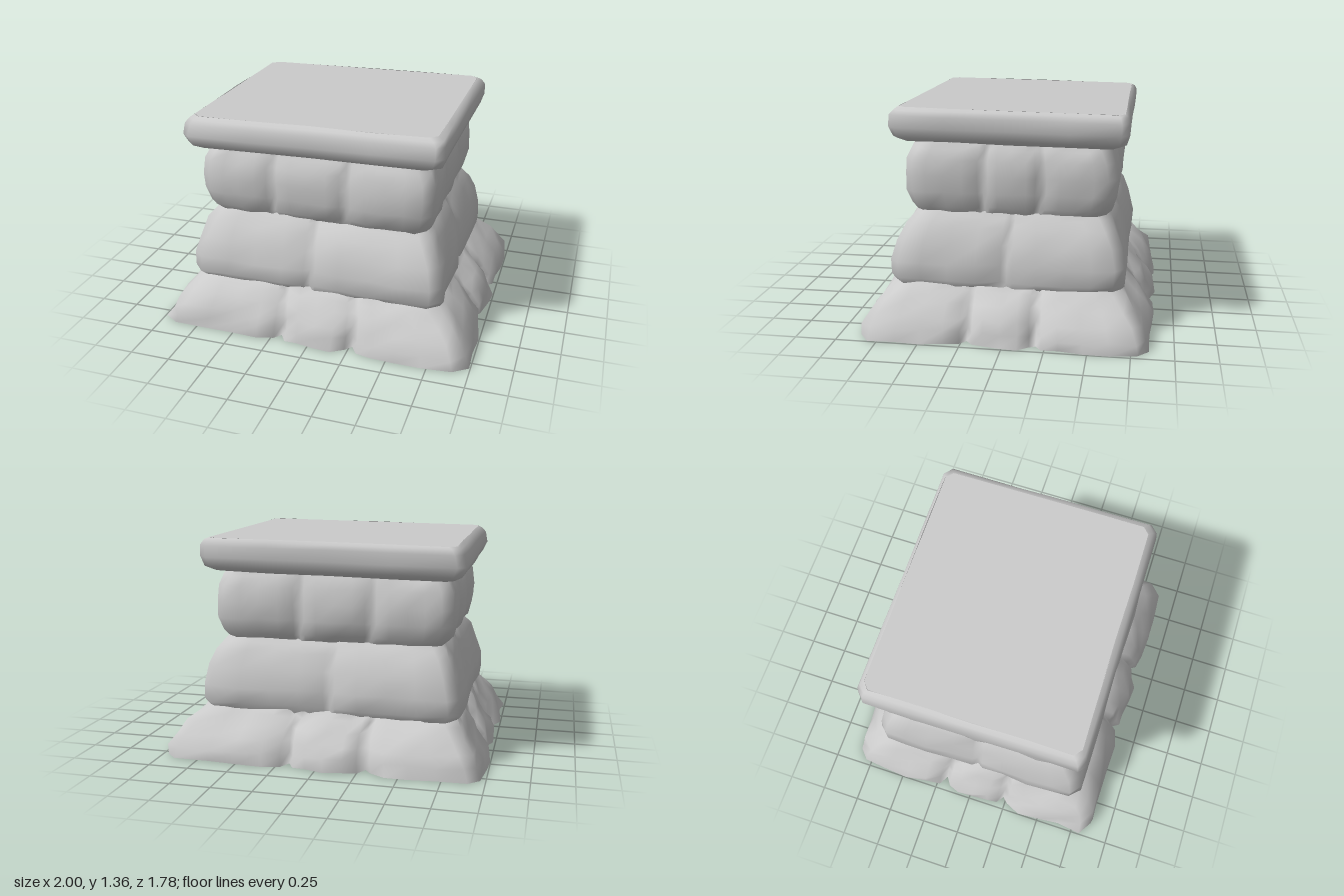
import * as THREE from 'three';

const material = new THREE.MeshStandardMaterial({ color: 0xcccccc, side: THREE.DoubleSide });

// Repeatable noise in -1..1 for the hand-hewn look
function noise(i, j, seed) {
  const s = Math.sin(i * 12.9898 + j * 78.233 + seed * 37.719) * 43758.5453;
  return (s - Math.floor(s)) * 2 - 1;
}

// Columns along one wall: t from -end to end, inset 1 at each mortar joint
function wallColumns(joints, end) {
  const stops = [-end, ...joints, end];
  const columns = [{ t: -end, inset: 0.15 }];
  for (let i = 0; i < stops.length - 1; i++) {
    const a = stops[i], b = stops[i + 1];
    const first = i === 0, last = i === stops.length - 2;
    const at = (t, inset) => columns.push({ t, inset });
    if (!first) at(a + 0.045, 0.4);
    for (const s of [0.25, 0.5, 0.75]) at(a + (b - a) * s, s === 0.5 ? 0 : 0.08);
    if (!last) {
      at(b - 0.045, 0.4);
      at(b, 1);
    }
  }
  columns.push({ t: end, inset: 0.15 });
  return columns;
}

// Lofts a four-walled course through rows of [y, xMin, xMax, zMin, zMax, jointDepth].
// joints: positions along front, right, back and left walls, running counterclockwise.
function course(name, rows, { joints = [[], [], [], []], end = 0.91, rough = 0.012, tilt = 0, seed = 1 }) {
  const walls = joints.map((j) => wallColumns(j.map((p) => p / 0.8), end));
  const count = walls.reduce((n, w) => n + w.length, 0);
  const positions = [], index = [];

  rows.forEach(([y, x0, x1, z0, z1, depth = 0], r) => {
    const cx = (x0 + x1) / 2, cz = (z0 + z1) / 2;
    const hx = (x1 - x0) / 2, hz = (z1 - z0) / 2;
    let c = 0;
    walls.forEach((wall, side) => {
      const [along, out] = side % 2 ? [hz, hx] : [hx, hz];
      for (const { t, inset } of wall) {
        // Joints stay upright while the corners follow the taper
        const k = Math.min(1, (t / end) ** 2);
        const ref = Math.min(0.8, along + 0.1);
        const a = t * (ref + (along - ref) * k);
        const o = out - inset * depth + noise(r, c, seed) * rough;
        const angle = side * Math.PI / 2;
        const cos = Math.round(Math.cos(angle)), sin = Math.round(Math.sin(angle));
        const x = cx + a * cos + o * sin;
        const z = cz + o * cos - a * sin;
        const wobble = y > 0 ? noise(c, r, seed + 5) * rough * 0.7 : 0;
        positions.push(x, y + wobble + tilt * (x + z), z);
        c++;
      }
    });
  });

  for (let r = 0; r < rows.length - 1; r++) {
    for (let c = 0; c < count; c++) {
      const a = r * count + c, b = r * count + (c + 1) % count;
      index.push(a, b, b + count, a, b + count, a + count);
    }
  }
  const geometry = new THREE.BufferGeometry();
  geometry.setAttribute('position', new THREE.Float32BufferAttribute(positions, 3));
  geometry.setIndex(index);
  geometry.computeVertexNormals();
  const mesh = new THREE.Mesh(geometry, material);
  mesh.name = name;
  return mesh;
}

export function createModel() {
  const group = new THREE.Group();
  group.name = 'stonePedestal';

  // Flared foot, three stones per wall, open underneath
  group.add(course('baseStones', [
    [0, -0.99, 0.99, -0.87, 0.885, 0.08],
    [0.07, -0.965, 0.975, -0.86, 0.875, 0.09],
    [0.14, -0.925, 0.935, -0.825, 0.85, 0.08],
    [0.21, -0.87, 0.875, -0.77, 0.80, 0.06],
    [0.27, -0.825, 0.80, -0.705, 0.735, 0.03],
    [0.31, -0.79, 0.755, -0.66, 0.69, 0],
  ], { joints: [[-0.19, 0.26], [-0.21, 0.2], [-0.18, 0.28], [-0.2, 0.22]], rough: 0.017, seed: 3 }));

  // Tapered middle, two large stones per wall
  group.add(course('middleStones', [
    [0.28, -0.80, 0.76, -0.66, 0.69, 0],
    [0.33, -0.835, 0.79, -0.695, 0.725, 0.03],
    [0.43, -0.825, 0.79, -0.705, 0.73, 0.045],
    [0.55, -0.795, 0.765, -0.68, 0.70, 0.045],
    [0.65, -0.755, 0.715, -0.635, 0.65, 0.04],
    [0.70, -0.72, 0.675, -0.595, 0.60, 0.02],
    [0.74, -0.69, 0.64, -0.56, 0.565, 0],
  ], { joints: [[-0.02], [0.01], [0.02], [0]], rough: 0.01, seed: 7 }));

  // Upright neck, three stones per wall
  group.add(course('neckStones', [
    [0.71, -0.69, 0.64, -0.56, 0.57, 0],
    [0.76, -0.745, 0.68, -0.61, 0.615, 0.03],
    [0.85, -0.77, 0.70, -0.635, 0.64, 0.04],
    [0.95, -0.775, 0.705, -0.645, 0.645, 0.04],
    [1.05, -0.765, 0.70, -0.63, 0.635, 0.04],
    [1.11, -0.735, 0.67, -0.60, 0.60, 0.02],
    [1.15, -0.70, 0.64, -0.575, 0.58, 0],
  ], { joints: [[-0.27, 0.2], [-0.17, 0.21], [-0.2, 0.25], [-0.2, 0.2]], rough: 0.007, seed: 11 }));

  // Slightly tilted capstone with a rounded rim
  const tilt = 0.013;
  group.add(course('capRim', [
    [1.14, -0.69, 0.63, -0.57, 0.57],
    [1.142, -0.77, 0.69, -0.64, 0.64],
    [1.17, -0.82, 0.745, -0.685, 0.69],
    [1.23, -0.845, 0.765, -0.70, 0.71],
    [1.30, -0.83, 0.765, -0.70, 0.70],
    [1.33, -0.81, 0.745, -0.69, 0.68],
    [1.345, -0.785, 0.715, -0.67, 0.655],
  ], { end: 0.94, rough: 0.004, tilt, seed: 17 }));

  group.add(course('capTop', [
    [1.345, -0.785, 0.715, -0.67, 0.655],
    [1.345, -0.035, -0.035, -0.008, -0.008],
  ], { end: 0.94, rough: 0, tilt }));

  return group;
}
